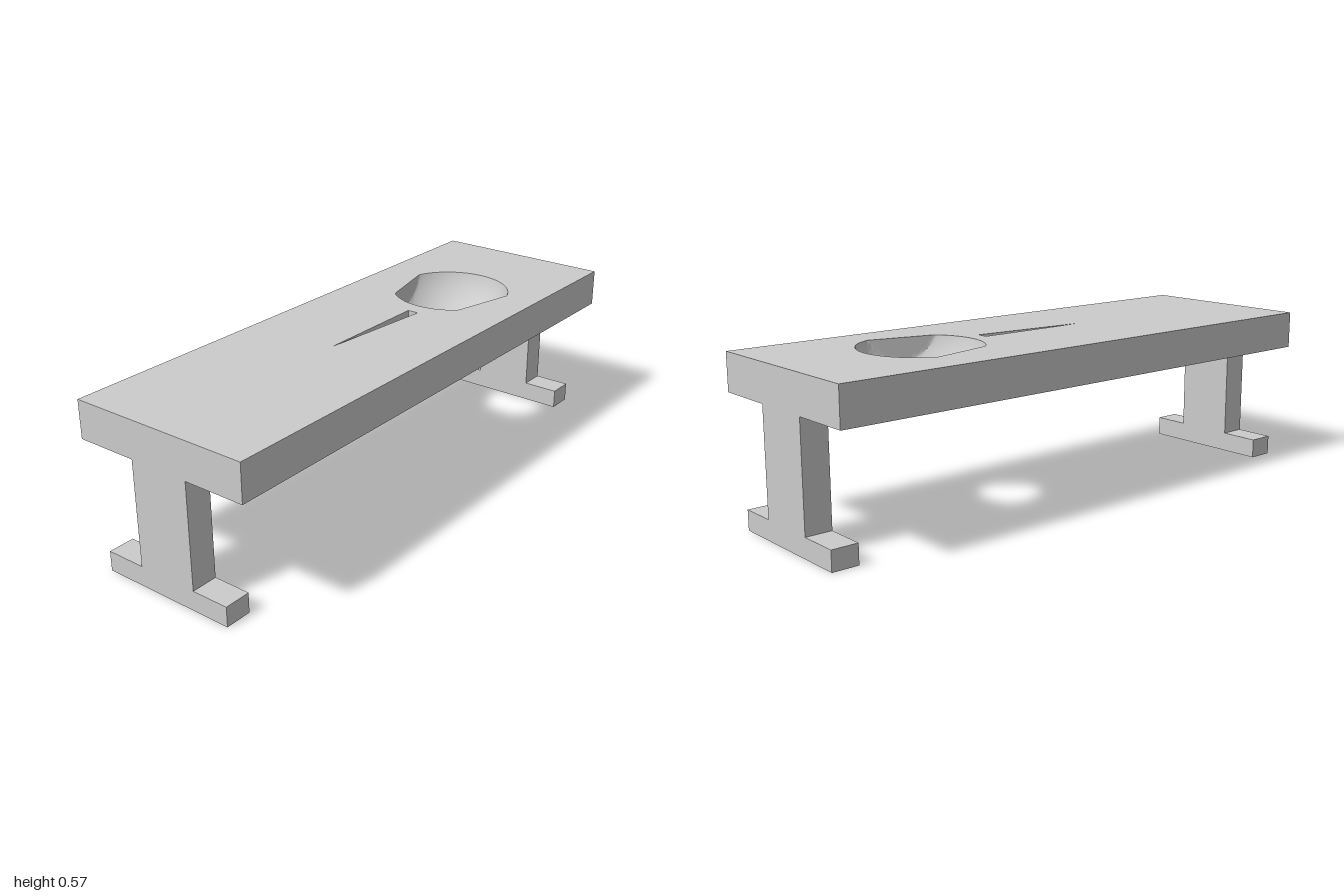
import * as THREE from 'three';
import { toCreasedNormals } from 'three/addons/utils/BufferGeometryUtils.js';

const TOP = 0.57, UNDER = 0.438, COLUMN_TOP = UNDER;

// Plan outlines are counter-clockwise Vector2 lists in (x, -z).
const plan = (pairs) => pairs.map(([x, z]) => new THREE.Vector2(x, -z));
const slabOutline = plan([[-1, 0.33], [1, 0.33], [1, -0.33], [-1, -0.33]]);
const grooveOutline = plan([[-0.22, 0.01], [0.21, 0.05], [0.21, 0.01]]);

// Wall joining equal-length outlines: faces outward going up, inward going down
function loft(rings) {
  const n = rings[0].points.length, pos = [], index = [];
  for (const { points, y } of rings) for (const p of points) pos.push(p.x, y, -p.y);
  for (let r = 0; r < rings.length - 1; r++) {
    for (let i = 0; i < n; i++) {
      const j = (i + 1) % n, a = r * n, b = a + n;
      index.push(a + i, a + j, b + j, a + i, b + j, b + i);
    }
  }
  const geo = new THREE.BufferGeometry();
  geo.setAttribute('position', new THREE.Float32BufferAttribute(pos, 3));
  geo.setIndex(index);
  return toCreasedNormals(geo, 0.5);
}

// Horizontal face at height y, facing up or down
function face(outline, holes, y, up = true) {
  const flip = (pts) => (up ? pts : pts.map((p) => new THREE.Vector2(p.x, -p.y)));
  const shape = new THREE.Shape(flip(outline));
  for (const h of holes) shape.holes.push(new THREE.Path(flip(h)));
  return new THREE.ShapeGeometry(shape).rotateX(up ? -Math.PI / 2 : Math.PI / 2).translate(0, y, 0);
}

// Round bowl outline trimmed by straight chords [angle, distance from centre]
function bowlOutline(radius, chords) {
  const pts = [];
  for (let i = 0; i < 120; i++) {
    const t = (i / 120) * Math.PI * 2;
    let r = radius;
    for (const [angle, d] of chords) {
      const c = Math.cos(t - angle);
      if (c > 0) r = Math.min(r, d / c);
    }
    pts.push(new THREE.Vector2(0.48 + r * Math.cos(t), -0.01 + r * Math.sin(t)));
  }
  return pts;
}

export function createModel() {
  const model = new THREE.Group();
  const material = new THREE.MeshStandardMaterial({ color: 0xcccccc });
  const add = (parent, name, geo) => {
    const mesh = new THREE.Mesh(geo, material);
    mesh.name = name;
    parent.add(mesh);
    return mesh;
  };

  // Spherical bowl, open at the bottom, with two flat sides
  const sides = [[Math.atan2(0.975, -0.222), 0.175], [Math.atan2(-0.97, -0.2425), 0.172]];
  const lip = [Math.atan2(0.949, -0.316), 0.098];
  const bowl = [];
  for (let i = 0; i <= 12; i++) {
    const y = TOP + (UNDER - TOP) * (i / 12);
    const r = Math.sqrt(0.2157 ** 2 - (TOP + 0.049 - y) ** 2);
    bowl.push({ points: bowlOutline(r, i === 12 ? [...sides, lip] : sides), y });
  }

  // Table top with the bowl and a narrow tapering groove
  const slab = new THREE.Group();
  slab.name = 'tableTop';
  model.add(slab);
  add(slab, 'topFace', face(slabOutline, [bowl[0].points, grooveOutline], TOP));
  add(slab, 'underside', face(slabOutline, [bowl[12].points], UNDER, false));
  add(slab, 'edge', loft([{ points: slabOutline, y: UNDER }, { points: slabOutline, y: TOP }]));
  add(slab, 'bowl', loft(bowl));
  const grooveFloor = TOP - 0.04;
  add(slab, 'grooveWall', loft([{ points: grooveOutline, y: TOP }, { points: grooveOutline, y: grooveFloor }]));
  add(slab, 'grooveFloor', face(grooveOutline, [], grooveFloor));

  // Two end legs, each a column on a crosswise foot
  for (const [side, name] of [[1, 'leftLeg'], [-1, 'rightLeg']]) {
    const leg = new THREE.Group();
    leg.name = name;
    leg.position.x = side * 0.953;
    model.add(leg);
    const height = COLUMN_TOP - 0.07;
    add(leg, 'column', new THREE.BoxGeometry(0.094, height, 0.22)).position.y = 0.07 + height / 2;
    add(leg, 'foot', new THREE.BoxGeometry(0.094, 0.07, 0.498)).position.set(0, 0.035, -0.005);
  }
  return model;
}
